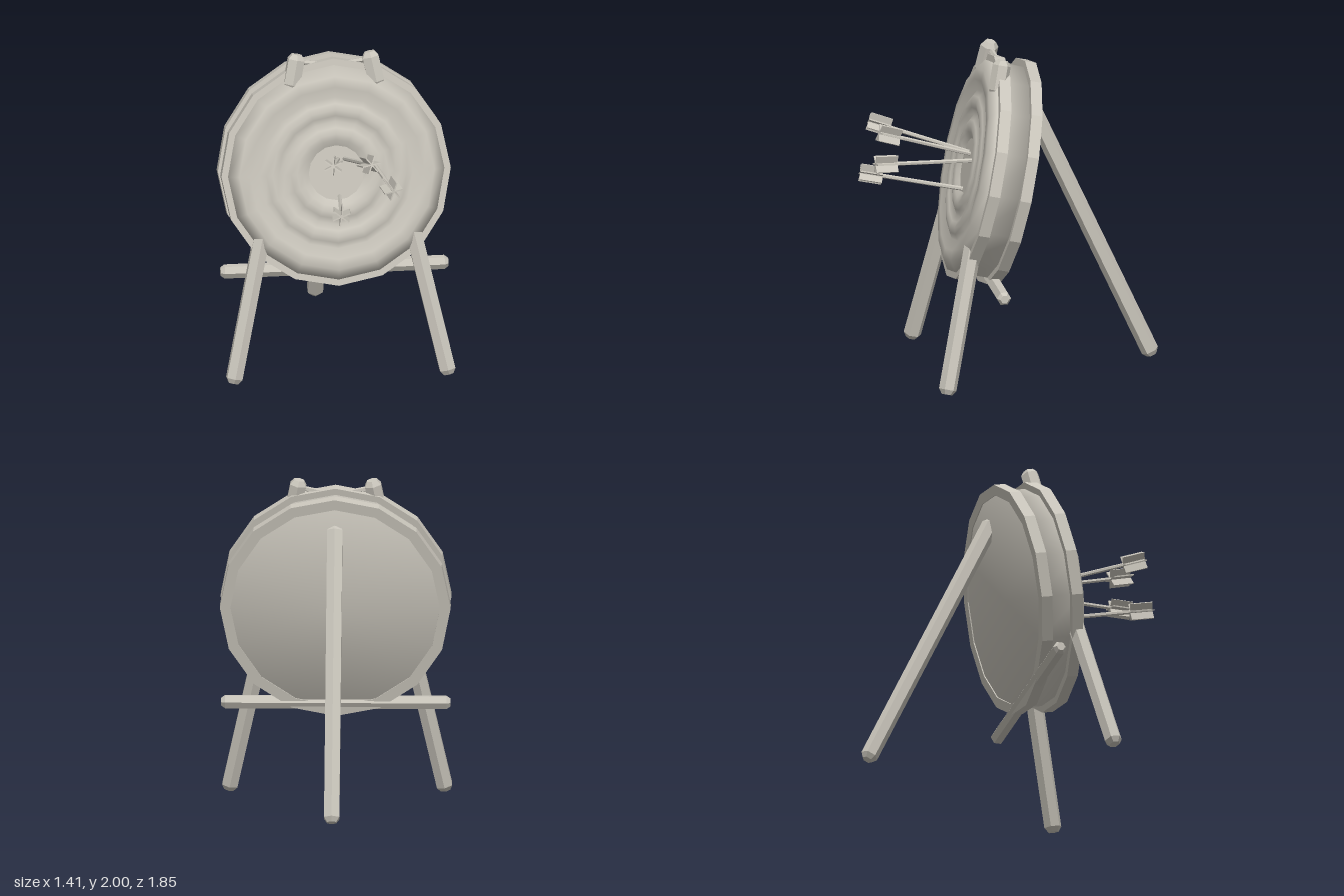
import * as THREE from 'three';

const TILT = 0.21;
const V = (x, y, z) => new THREE.Vector3(x, y, z);
const P = (x, y) => new THREE.Vector2(x, y);
const UP = V(0, 1, 0);

export function createModel() {
  const model = new THREE.Group();
  model.name = 'archeryTarget';
  const straw = new THREE.MeshStandardMaterial({ color: 0xc9c5bb });
  straw.name = 'paleGrey';

  function add(parent, name, geometry, faceted = true) {
    let g = geometry;
    if (faceted) {
      if (g.index) g = g.toNonIndexed();
      g.computeVertexNormals();
    }
    const mesh = new THREE.Mesh(g, straw);
    mesh.name = name;
    parent.add(mesh);
    return mesh;
  }

  // Six-sided pole with bevelled ends, running from a to b
  function pole(name, a, b, r) {
    const len = a.distanceTo(b), c = r * 0.55;
    const g = new THREE.LatheGeometry([
      P(0, 0), P(r * 0.6, 0), P(r, c), P(r, len - c), P(r * 0.6, len), P(0, len),
    ], 6);
    const mesh = add(model, name, g);
    mesh.position.copy(a);
    mesh.quaternion.setFromUnitVectors(UP, b.clone().sub(a).normalize());
    return mesh;
  }

  // Leaning round target: local +y points out of the face
  const target = new THREE.Group();
  target.name = 'target';
  target.position.set(0, 1.278, 0.284);
  target.rotation.x = Math.PI / 2 - TILT;
  model.add(target);

  // Body with padded rings on the face, profile from back centre to bullseye
  const profile = [P(0, -0.305), P(0.665, -0.305), P(0.665, -0.04), P(0.6, -0.002), P(0.535, 0)];
  for (const outer of [0.47, 0.32]) {
    for (let i = 0; i < 4; i++) {
      profile.push(P(outer - 0.15 * i / 4, -0.028 + 0.03 * Math.sin(Math.PI * i / 4)));
    }
  }
  profile.push(P(0.17, -0.028));
  add(target, 'body', new THREE.LatheGeometry(profile, 16), false);
  add(target, 'bullseye', new THREE.LatheGeometry([P(0.17, -0.028), P(0, -0.028)], 16));

  // Front and back hoops
  for (const [name, y] of [['backHoop', -0.312], ['frontHoop', -0.115]]) {
    add(target, name, new THREE.LatheGeometry([
      P(0.64, y), P(0.705, y), P(0.705, y + 0.07), P(0.64, y + 0.07), P(0.64, y),
    ], 16));
  }

  // Stand: front legs, their tops above the target, back leg and crossbar
  for (const s of [-1, 1]) {
    const side = s > 0 ? 'left' : 'right';
    pole(side + 'FrontLeg', V(s * 0.662, 0.012, 0.495), V(s * 0.43, 1.05, 0.265), 0.055);
    pole(side + 'Post', V(s * 0.265, 1.78, 0.12), V(s * 0.222, 1.99, 0.077), 0.057);
  }
  pole('backLeg', V(0, 0.022, -0.885), V(0, 1.73, -0.09), 0.054);
  pole('crossbar', V(-0.7, 0.607, 0.143), V(0.7, 0.607, 0.143), 0.044);

  // Rope sagging between the posts
  const rope = new THREE.CatmullRomCurve3([
    V(-0.23, 1.945, 0.08), V(-0.1, 1.92, 0.065), V(0, 1.912, 0.06), V(0.1, 1.92, 0.065), V(0.23, 1.945, 0.08),
  ]);
  add(model, 'rope', new THREE.TubeGeometry(rope, 8, 0.016, 5));

  // Arrows: point in the face and tail end
  const arrows = [
    [V(0.01, 1.36, 0.25), V(-0.09, 1.555, 0.85)],
    [V(0.05, 1.36, 0.25), V(0.15, 1.545, 0.825)],
    [V(0.205, 1.36, 0.25), V(0.28, 1.382, 0.87)],
    [V(0.015, 1.13, 0.29), V(-0.045, 1.245, 0.91)],
  ];
  for (const [tip, tail] of arrows) {
    const arrow = new THREE.Group();
    arrow.name = 'arrow';
    const len = tip.distanceTo(tail);
    arrow.position.copy(tip);
    arrow.quaternion.setFromUnitVectors(UP, tail.clone().sub(tip).normalize());
    model.add(arrow);
    const shaft = add(arrow, 'shaft', new THREE.CylinderGeometry(0.013, 0.013, len, 6));
    shaft.position.y = len / 2;
    // Three crossed plates make six vanes
    for (let i = 0; i < 3; i++) {
      const vane = add(arrow, 'fletching', new THREE.BoxGeometry(0.115, 0.14, 0.008));
      vane.position.y = len - 0.065;
      vane.rotation.y = i * Math.PI / 3 + 0.3;
    }
  }
  return model;
}
